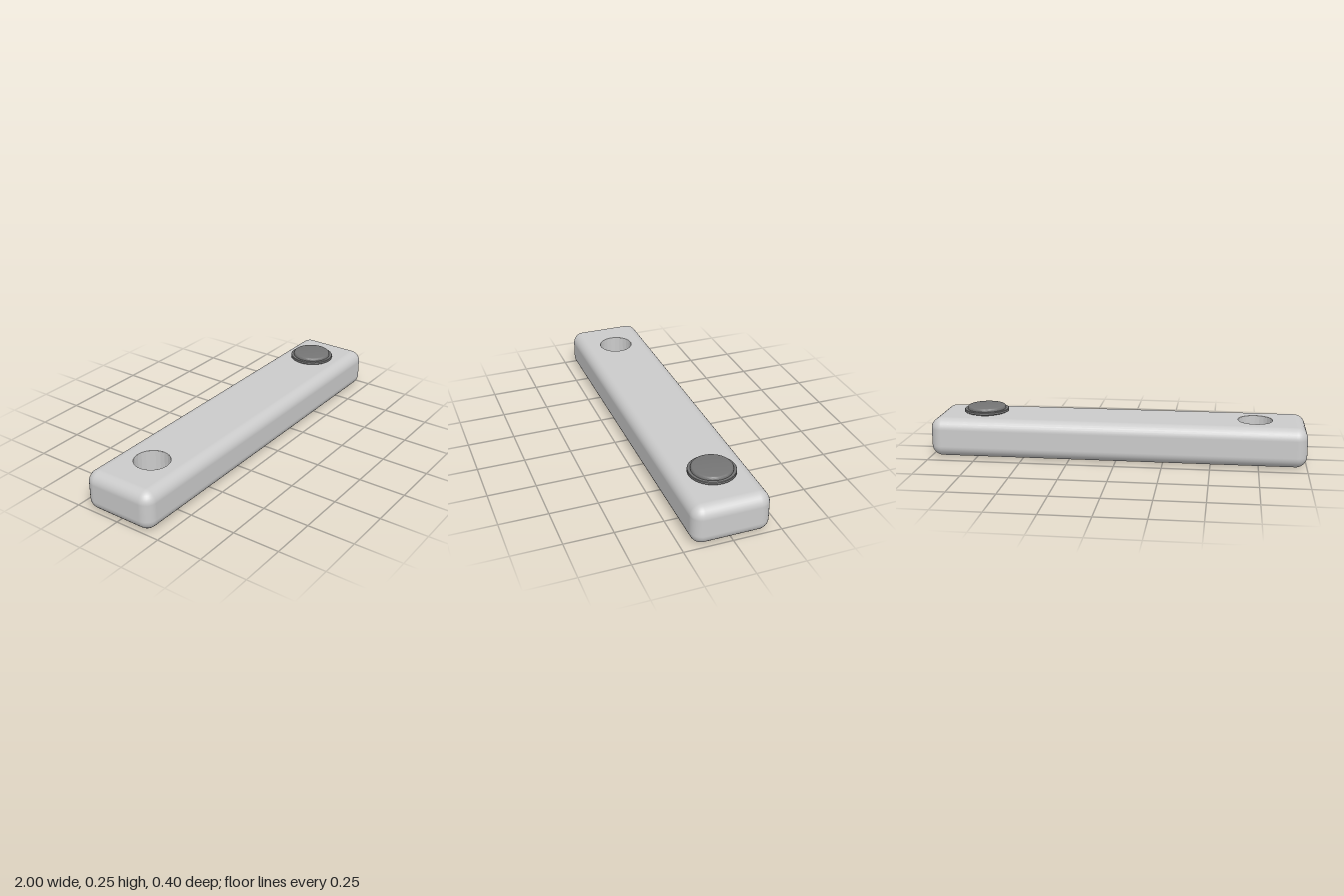
import * as THREE from 'three';
import { toCreasedNormals } from 'three/addons/utils/BufferGeometryUtils.js';

const HOLE_X = 0.73, HOLE_R = 0.092, HEIGHT = 0.21, EDGE = 0.06;
const CORE_X = 1 - EDGE, CORE_Z = 0.2 - EDGE;

// Rounded wall of the bar: a rounded rectangle swept over the edge radius
function wallGeometry() {
  const pos = [], nor = [], idx = [], arc = 8;
  const ring = [];
  for (let c = 0; c < 4; c++) {
    const sx = c === 0 || c === 3 ? 1 : -1, sz = c < 2 ? 1 : -1;
    for (let i = 0; i <= arc; i++) ring.push([sx, sz, (c + i / arc) * Math.PI / 2]);
  }
  const n = ring.length, rows = 2 * (arc + 1);
  for (let r = 0; r < rows; r++) {
    const upper = r > arc;
    const a = (upper ? (r - arc - 1) / arc : r / arc - 1) * Math.PI / 2;
    const y = upper ? HEIGHT - EDGE : EDGE;
    for (const [sx, sz, p] of ring) {
      const d = [Math.cos(a) * Math.cos(p), Math.sin(a), Math.cos(a) * Math.sin(p)];
      pos.push(sx * CORE_X + EDGE * d[0], y + EDGE * d[1], sz * CORE_Z + EDGE * d[2]);
      nor.push(...d);
    }
  }
  for (let r = 0; r < rows - 1; r++) for (let i = 0; i < n; i++) {
    const a = r * n + i, b = r * n + (i + 1) % n;
    idx.push(a, a + n, b, b, a + n, b + n);
  }
  const g = new THREE.BufferGeometry();
  g.setAttribute('position', new THREE.Float32BufferAttribute(pos, 3));
  g.setAttribute('normal', new THREE.Float32BufferAttribute(nor, 3));
  g.setIndex(idx);
  return g;
}

// Flat face of the bar, pierced by the two holes
function faceGeometry() {
  const s = new THREE.Shape([
    new THREE.Vector2(-CORE_X, -CORE_Z), new THREE.Vector2(CORE_X, -CORE_Z),
    new THREE.Vector2(CORE_X, CORE_Z), new THREE.Vector2(-CORE_X, CORE_Z),
  ]);
  for (const x of [-HOLE_X, HOLE_X]) {
    s.holes.push(new THREE.Path().absarc(x, 0, HOLE_R, 0, Math.PI * 2, true));
  }
  return new THREE.ShapeGeometry(s, 24);
}

export function createModel() {
  const group = new THREE.Group();
  const grey = new THREE.MeshStandardMaterial({ color: 0xcccccc });
  const bore = new THREE.MeshStandardMaterial({ color: 0xcccccc, flatShading: true, side: THREE.DoubleSide });
  const dark = new THREE.MeshStandardMaterial({ color: 0x757575 });
  const add = (name, geometry, material, parent) => {
    const m = new THREE.Mesh(geometry, material);
    m.name = name;
    parent.add(m);
    return m;
  };

  // Bar
  const bar = new THREE.Group();
  bar.name = 'bar';
  group.add(bar);
  add('barWall', wallGeometry(), grey, bar);
  add('barTop', faceGeometry().rotateX(-Math.PI / 2), grey, bar).position.y = HEIGHT;
  add('barBottom', faceGeometry().rotateX(Math.PI / 2), grey, bar);

  // Through holes
  for (const x of [-HOLE_X, HOLE_X]) {
    const tube = new THREE.CylinderGeometry(HOLE_R, HOLE_R, HEIGHT, 24, 1, true).rotateY(Math.PI / 2);
    add('holeWall', tube, bore, bar).position.set(x, HEIGHT / 2, 0);
  }

  // Button: stem in the hole, flange, and raised round-edged head
  const profile = [
    [0, 0.07], [0.062, 0.07], [0.073, 0.085], [0.073, 0.217],
    [0.116, 0.217], [0.12, 0.22], [0.12, 0.231], [0.118, 0.233],
    [0.104, 0.233], [0.104, 0.241], [0.102, 0.246], [0.098, 0.249],
    [0.093, 0.25], [0, 0.25],
  ].map(([r, y]) => new THREE.Vector2(r, y));
  const button = toCreasedNormals(new THREE.LatheGeometry(profile, 48), 0.6);
  add('button', button, dark, group).position.x = HOLE_X;

  return group;
}
